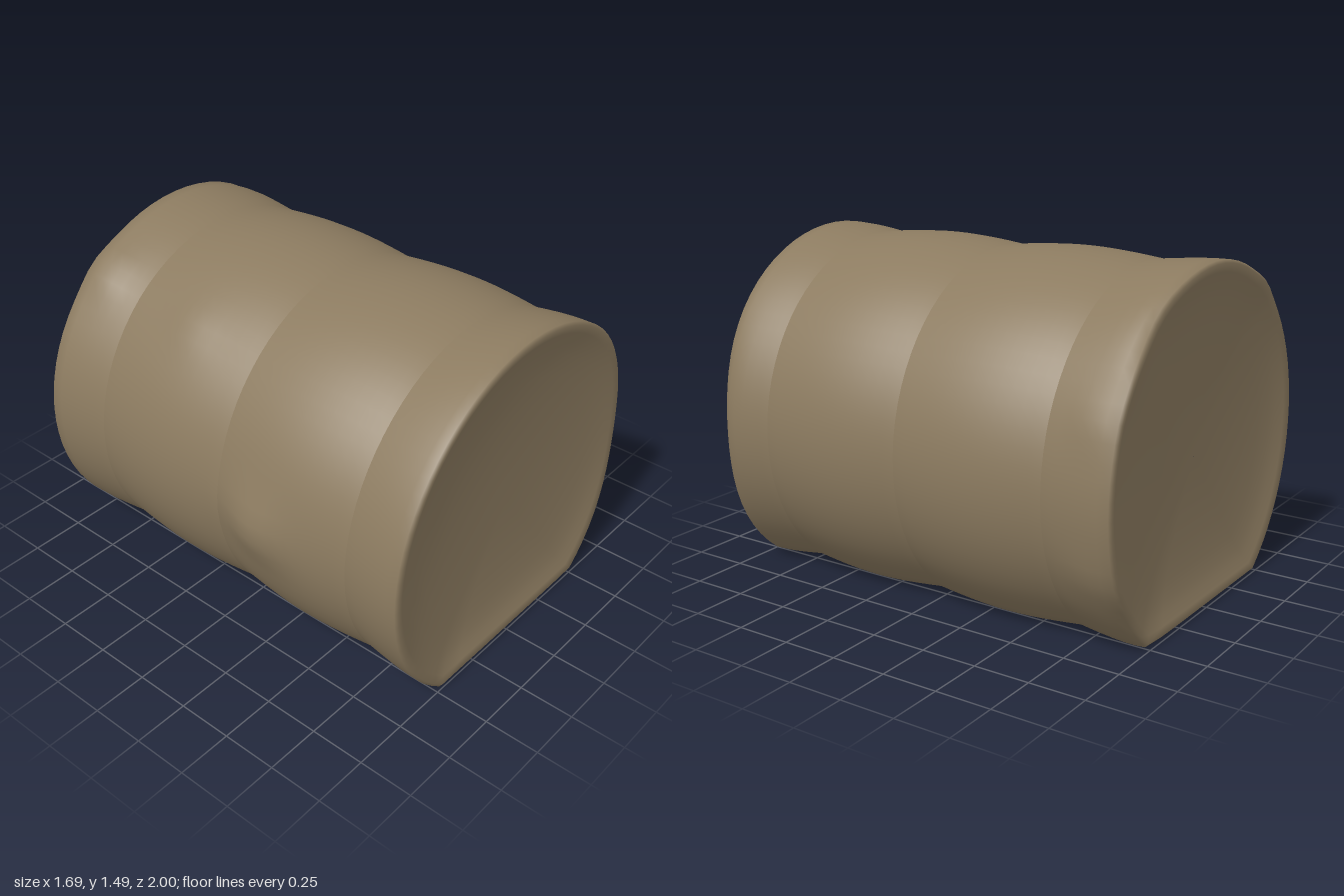
import * as THREE from 'three';
import { toCreasedNormals } from 'three/addons/utils/BufferGeometryUtils.js';

const CX = 0.02, CY = 0.67, R = 0.822, FLAT = 0.655; // round outline cut by a flat base
const ARC = 56, BASE = 8, COUNT = ARC + BASE;
const HALF = Math.acos(FLAT / R); // half angle of the flat base
const GROOVES = [0.72, 0.03, -0.68];

// worn lumps and dents: angle, z, angular width, z width, height
const LUMPS = [
  [Math.PI, 0.25, 0.17, 0.16, 0.047],
  [2.23, -0.9, 0.13, 0.12, 0.026],
  [2.3, -0.33, 0.14, 0.12, 0.012],
  [0.41, -0.88, 0.12, 0.12, 0.013],
  [-0.38, -0.88, 0.12, 0.12, 0.01],
  [4.06, -0.43, 0.12, 0.2, 0.015],
  [0, 1, 0.5, 0.06, -0.03],
  [0.85, -1, 0.2, 0.06, -0.02],
  [-0.7, -1, 0.2, 0.06, -0.02],
];
const bell = (d, w) => Math.exp(-(d * d) / (w * w));
const angleGap = (a, b) => Math.atan2(Math.sin(a - b), Math.cos(a - b));

// one cross-section: round sides, then the flat base
function ring(z, offset, scale = 1) {
  const r = R + offset, floor = FLAT + offset, pts = [];
  for (let i = 0; i < COUNT; i++) {
    let x, y;
    if (i <= ARC) {
      const a = -Math.PI / 2 + HALF + (i / ARC) * (2 * Math.PI - 2 * HALF);
      let rr = r;
      for (const [la, lz, wa, wz, h] of LUMPS) rr += h * scale * bell(angleGap(a, la), wa) * bell(z - lz, wz);
      x = Math.cos(a) * rr;
      y = Math.max(Math.sin(a) * rr, -0.668);
    } else {
      x = Math.sin(HALF) * r * (-1 + (2 * (i - ARC)) / BASE);
      y = -floor;
    }
    // worn hollows in the end rims
    const a = Math.atan2(y, x), edge = bell(1 - Math.abs(z), 0.05) * scale ** 6;
    const wear = z > 0 ? 0.028 * bell(a, 0.6)
      : 0.022 * bell(a - 0.95, 0.25) + 0.016 * bell(a + 0.7, 0.25);
    pts.push([CX + x * scale, CY + y * scale, z - Math.sign(z) * wear * edge]);
  }
  return pts;
}

// skin a list of rings running from +z towards -z
function skin(rings, crease) {
  const pos = rings.flat(2), index = [];
  for (let j = 0; j < rings.length - 1; j++) {
    for (let i = 0; i < COUNT; i++) {
      const a = j * COUNT + i, b = j * COUNT + ((i + 1) % COUNT);
      index.push(a, a + COUNT, b, b, a + COUNT, b + COUNT);
    }
  }
  const g = new THREE.BufferGeometry();
  g.setAttribute('position', new THREE.Float32BufferAttribute(pos, 3));
  g.setIndex(index);
  return toCreasedNormals(g, crease);
}

export function createModel() {
  const group = new THREE.Group();
  const material = new THREE.MeshStandardMaterial({ color: 0x8c7b60 });
  material.name = 'weathered brown';
  const add = (geometry, name) => {
    const mesh = new THREE.Mesh(geometry, material);
    mesh.name = name;
    group.add(mesh);
  };

  // bulging bands between the grooves
  for (let k = 0; k < 2; k++) {
    const rings = [];
    for (let j = 0; j <= 12; j++) {
      const t = j / 12;
      const z = THREE.MathUtils.lerp(GROOVES[k], GROOVES[k + 1], t);
      rings.push(ring(z, -0.025 + 0.025 * Math.sin(Math.PI * t)));
    }
    add(skin(rings, 0.9), k === 0 ? 'frontBand' : 'backBand');
  }

  // ends: flared band, softly shaded rim, shallow dished face
  const dish = [[1, 0.985], [0.988, 0.94], [0.973, 0.88], [0.96, 0.81], [0.948, 0.7],
    [0.937, 0.54], [0.929, 0.35], [0.925, 0.15], [0.925, 0.002]];
  for (const side of [1, -1]) {
    const groove = side > 0 ? GROOVES[0] : -GROOVES[2];
    const rings = [];
    for (let j = 0; j <= 6; j++) {
      const t = j / 6;
      rings.push(ring(side * THREE.MathUtils.lerp(groove, 0.99, t), -0.025 + 0.026 * Math.sin((t * Math.PI) / 2)));
    }
    for (const [z, s] of dish) rings.push(ring(side * z, 0, s));
    if (side > 0) rings.reverse();
    // the front list now runs from dish to rim, the back from rim to dish
    add(skin(rings, 1.8), side > 0 ? 'frontEnd' : 'backEnd');
  }
  return group;
}
